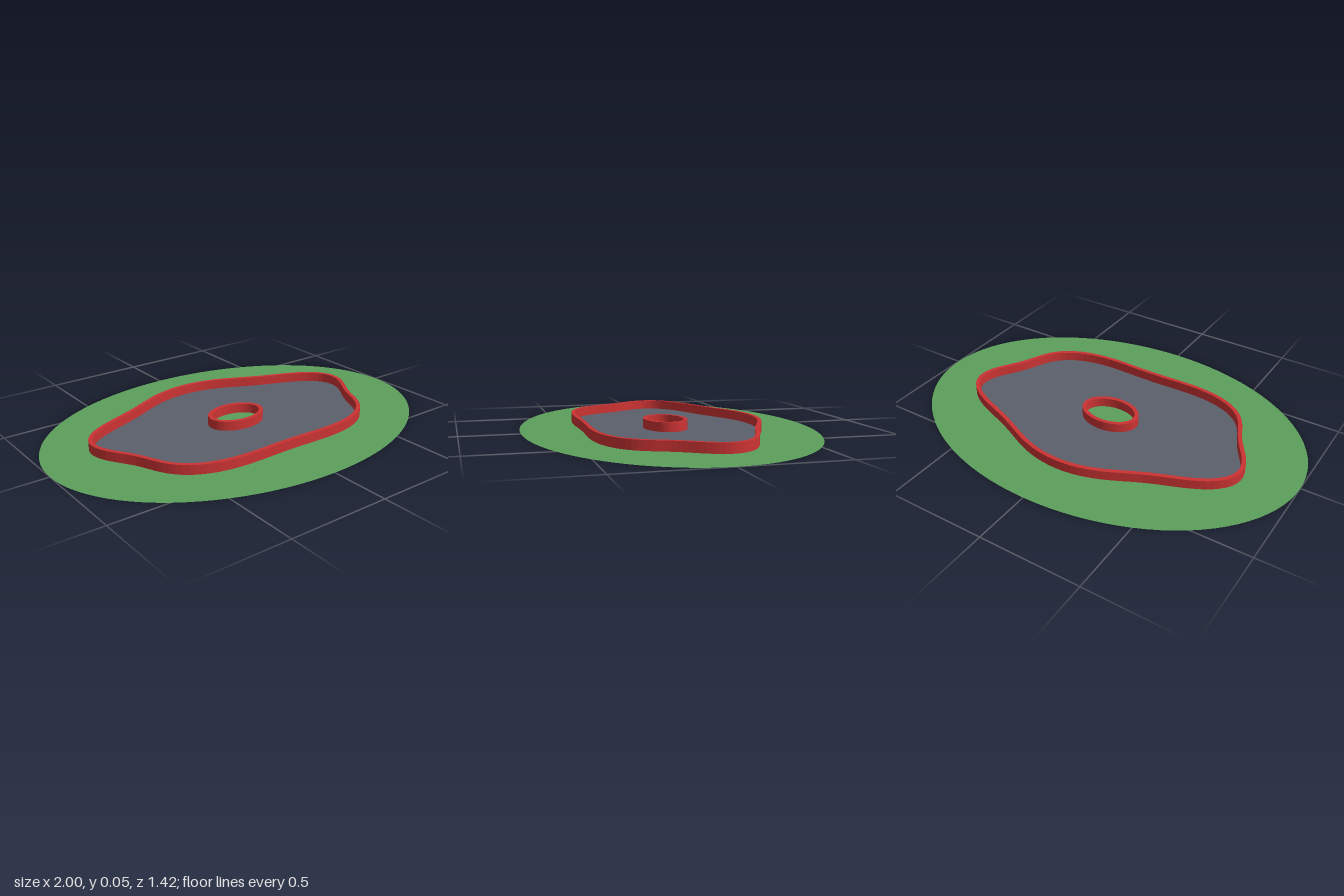
import * as THREE from 'three';

const WALL_HALF = 0.01, WALL_TOP = 0.048;
const GRASS_RX = 1, GRASS_RZ = 0.71;

// Closed oval whose radius swells in five soft lobes; plan y points to the back
function outline(rx, ry, lobe, count) {
  return Array.from({ length: count }, (_, i) => {
    const a = (i / count) * Math.PI * 2;
    const r = 1 + lobe * Math.sin(5 * a);
    return new THREE.Vector2(rx * r * Math.cos(a), ry * r * Math.sin(a));
  });
}

// Moves a counter-clockwise outline outwards by d
function offset(points, d) {
  const n = points.length;
  return points.map((p, i) => {
    const t = points[(i + 1) % n].clone().sub(points[(i + n - 1) % n]).normalize();
    return new THREE.Vector2(p.x + t.y * d, p.y - t.x * d);
  });
}

function shapeOf(outer, hole) {
  const shape = new THREE.Shape(outer);
  if (hole) shape.holes.push(new THREE.Path(hole));
  return shape;
}

export function createModel() {
  const grass = new THREE.MeshStandardMaterial({ color: 0x5c9f5c, side: THREE.DoubleSide });
  grass.name = 'grass green';
  const asphalt = new THREE.MeshStandardMaterial({ color: 0x5b606c, side: THREE.DoubleSide });
  asphalt.name = 'asphalt grey';
  const red = new THREE.MeshStandardMaterial({ color: 0xcc3333 });
  red.name = 'barrier red';

  const model = new THREE.Group();
  model.name = 'raceTrack';
  const add = (name, geometry, material) => {
    const mesh = new THREE.Mesh(geometry.rotateX(-Math.PI / 2), material);
    mesh.name = name;
    model.add(mesh);
    return mesh;
  };

  const outerEdge = outline(0.722, 0.4335, 0.061, 120);
  const innerEdge = outline(0.14, 0.097, 0, 60);

  // Flat surfaces, meeting under the barriers
  add('grassField', new THREE.ShapeGeometry(shapeOf(outline(GRASS_RX, GRASS_RZ, 0, 96), outerEdge)), grass);
  add('trackSurface', new THREE.ShapeGeometry(shapeOf(outerEdge, innerEdge)), asphalt);
  add('grassIsland', new THREE.ShapeGeometry(shapeOf(innerEdge)), grass);

  // Thin upright barriers along both track edges, just clear of the ground
  for (const [name, edge] of [['outerBarrier', outerEdge], ['innerBarrier', innerEdge]]) {
    const base = 0.001;
    const geometry = new THREE.ExtrudeGeometry(
      shapeOf(offset(edge, WALL_HALF), offset(edge, -WALL_HALF)),
      { depth: WALL_TOP - base, bevelEnabled: false },
    );
    add(name, geometry, red).position.y = base;
  }
  return model;
}
